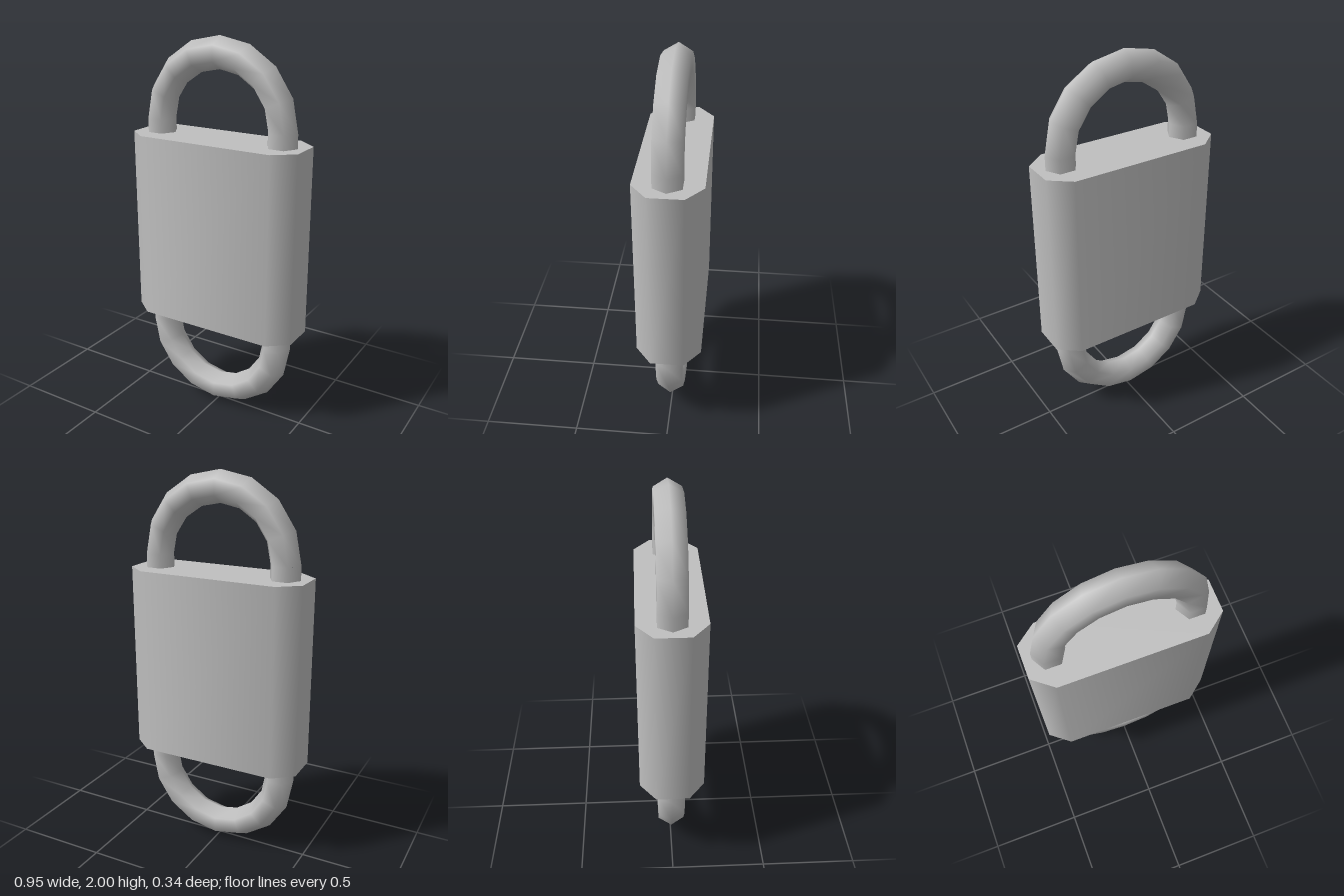
import * as THREE from 'three';

const LINK_R = 0.35, TUBE_R = 0.08;   // loop radius, bar radius
const TOP_Y = 1.57, BOTTOM_Y = 0.43;  // arc centres
const BODY_TOP = 1.5, BODY_BOTTOM = 0.51;

// Long octagonal prism with softly shaded sides and flat ends
function bodyGeometry() {
  const geo = new THREE.CylinderGeometry(1, 1, BODY_TOP - BODY_BOTTOM, 8, 1, false, Math.PI / 8);
  const pos = geo.attributes.position, nor = geo.attributes.normal;
  for (let i = 0; i < pos.count; i++) {
    const x = pos.getX(i), z = pos.getZ(i);
    if (Math.hypot(x, z) < 0.1) continue; // cap centre
    const end = Math.abs(x) > Math.abs(z);
    const sx = Math.sign(x), sz = Math.sign(z);
    pos.setX(i, sx * (end ? 0.473 : 0.368));
    pos.setZ(i, sz * (end ? 0.085 : 0.168));
    if (Math.abs(nor.getY(i)) < 0.5) {
      nor.setXYZ(i, sx * (end ? 0.9 : 0.33), 0, sz * (end ? 0.44 : 0.944));
    }
  }
  return geo;
}

export function createModel() {
  const model = new THREE.Group();
  const grey = new THREE.MeshStandardMaterial({ color: 0xc0c0c0 });
  grey.name = 'grey metal';

  const add = (name, geo, x, y) => {
    const mesh = new THREE.Mesh(geo, grey);
    mesh.name = name;
    mesh.position.set(x, y, 0);
    model.add(mesh);
    return mesh;
  };

  add('body', bodyGeometry(), 0, (BODY_TOP + BODY_BOTTOM) / 2);

  // Six-sided loops above and below the body
  const arc = new THREE.TorusGeometry(LINK_R, TUBE_R, 6, 8, Math.PI);
  add('topLoop', arc, 0, TOP_Y);
  add('bottomLoop', arc, 0, BOTTOM_Y).rotation.z = Math.PI;

  // Straight bars joining the loops through the body
  const bar = new THREE.CylinderGeometry(TUBE_R, TUBE_R, TOP_Y - BOTTOM_Y, 6, 1, true, Math.PI / 2);
  add('leftBar', bar, LINK_R, (TOP_Y + BOTTOM_Y) / 2);
  add('rightBar', bar, -LINK_R, (TOP_Y + BOTTOM_Y) / 2);

  return model;
}
